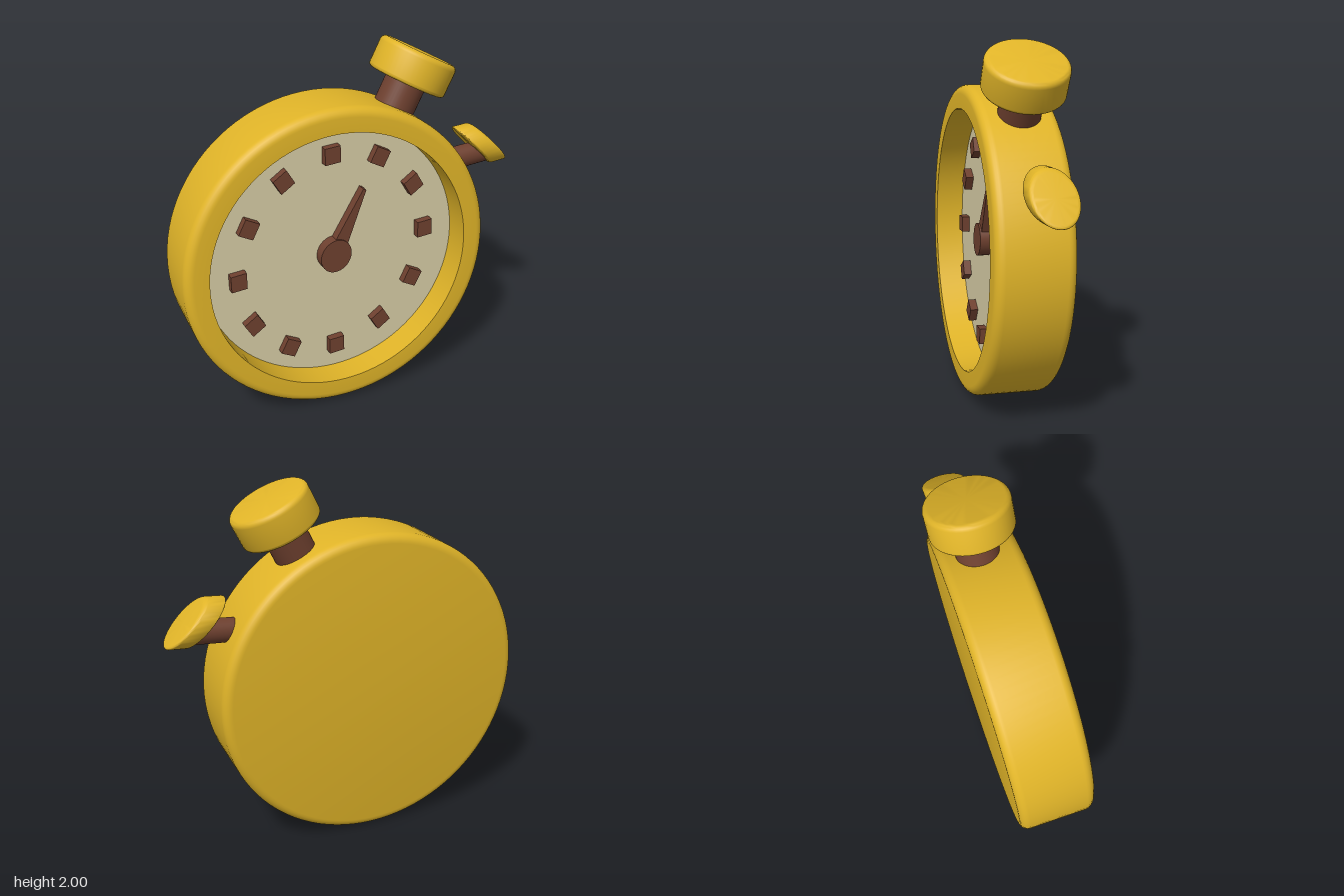
import * as THREE from 'three';
import { toCreasedNormals } from 'three/addons/utils/BufferGeometryUtils.js';

const gold = new THREE.MeshStandardMaterial({ color: 0xe0b428 });
const brown = new THREE.MeshStandardMaterial({ color: 0x6e402f });
const cream = new THREE.MeshStandardMaterial({ color: 0xd6cca4 });

function addMesh(parent, name, geometry, material) {
  const mesh = new THREE.Mesh(geometry, material);
  mesh.name = name;
  parent.add(mesh);
  return mesh;
}

// Points of a quarter-round edge, from angle a to angle a + 90 degrees
function roundEdge(cx, cy, r, a, steps = 6) {
  return Array.from({ length: steps + 1 }, (_, i) => {
    const t = a + (i / steps) * Math.PI / 2;
    return new THREE.Vector2(cx + r * Math.cos(t), cy + r * Math.sin(t));
  });
}

function lathe(points, segments) {
  return toCreasedNormals(new THREE.LatheGeometry(points, segments), 0.6);
}

// Solid disc about y with rounded bottom and top edges
function knob(radius, height, bottom, top, segments = 48) {
  const h = height / 2;
  return lathe([
    new THREE.Vector2(0, -h),
    ...roundEdge(radius - bottom, -h + bottom, bottom, -Math.PI / 2),
    ...roundEdge(radius - top, h - top, top, 0),
    new THREE.Vector2(0, h),
  ], segments);
}

export function createModel() {
  const model = new THREE.Group();
  model.name = 'stopwatch';

  // Case and dial share a very slight tilt
  const watch = new THREE.Group();
  watch.name = 'watchBody';
  watch.position.set(-0.125, 0.871, 0.003);
  watch.rotation.set(-0.03, -0.037, 0);
  model.add(watch);

  // Case: closed back, rounded outer edges, recessed front
  const R = 0.862, H = 0.207, B = 0.05, inner = 0.732, floor = 0.045;
  const caseGeometry = lathe([
    new THREE.Vector2(0, -H),
    ...roundEdge(R - B, -H + B, B, -Math.PI / 2),
    ...roundEdge(R - B, H - B, B, 0),
    new THREE.Vector2(inner, H),
    new THREE.Vector2(inner, floor - 0.01),
  ], 96);
  caseGeometry.rotateX(Math.PI / 2);
  addMesh(watch, 'case', caseGeometry, gold);

  const dial = addMesh(watch, 'dial', new THREE.CircleGeometry(inner + 0.002, 96), cream);
  dial.position.z = floor;

  // The dial marks are slightly narrowed and skewed as a set
  const skew = new THREE.Matrix4().set(
    0.95, 0, 0, 0,
    0.087, 1, 0, 0,
    0, 0, 1, floor,
    0, 0, 0, 1);

  // Twelve hour marks
  for (let i = 0; i < 12; i++) {
    const mark = new THREE.BoxGeometry(0.092, 0.092, 0.05);
    mark.translate(0, 0.575, 0.02).rotateZ(i * Math.PI / 6).applyMatrix4(skew);
    addMesh(watch, 'hourMark', mark, brown);
  }

  // Hub and tapered hand
  const hub = new THREE.CylinderGeometry(0.094, 0.094, 0.07, 32);
  hub.rotateX(Math.PI / 2).translate(0, 0, 0.03).applyMatrix4(skew);
  addMesh(watch, 'hub', hub, brown);

  const handShape = new THREE.Shape([
    new THREE.Vector2(-0.05, 0), new THREE.Vector2(0.05, 0),
    new THREE.Vector2(0.01, 0.388), new THREE.Vector2(-0.01, 0.388),
  ]);
  const hand = new THREE.ExtrudeGeometry(handShape, { depth: 0.055, bevelEnabled: false });
  hand.rotateZ(-0.495).applyMatrix4(skew);
  addMesh(watch, 'hand', hand, brown);

  // Winding crown, leaning out from the case
  const crown = new THREE.Group();
  crown.name = 'crown';
  crown.position.set(0.376, 1.837, -0.01);
  crown.rotation.z = -0.475;
  model.add(crown);
  addMesh(crown, 'crownCap', knob(0.217, 0.178, 0.02, 0.03), gold);
  const stem = new THREE.CylinderGeometry(0.112, 0.112, 0.3, 40);
  stem.translate(0, -0.17, 0);
  addMesh(crown, 'crownStem', stem, brown);

  // Side button: a sideways disc sheared so its face slopes outward
  const slant = new THREE.Matrix4().set(
    1, -0.95, 0, 0,
    -0.08, 1, 0, 0,
    0, 0, 1, 0,
    0, 0, 0, 1);
  slant.elements[1] = 0.08;
  const button = knob(0.12, 0.115, 0.012, 0.02);
  button.rotateZ(-Math.PI / 2).applyMatrix4(slant);
  addMesh(model, 'sideButton', toCreasedNormals(button, 0.6), gold).position.set(0.819, 1.331, 0);

  const buttonStem = new THREE.CylinderGeometry(0.06, 0.06, 0.26, 32);
  buttonStem.rotateZ(-Math.PI / 2).applyMatrix4(slant);
  addMesh(model, 'sideButtonStem', buttonStem, brown).position.set(0.70, 1.269, 0);

  return model;
}
